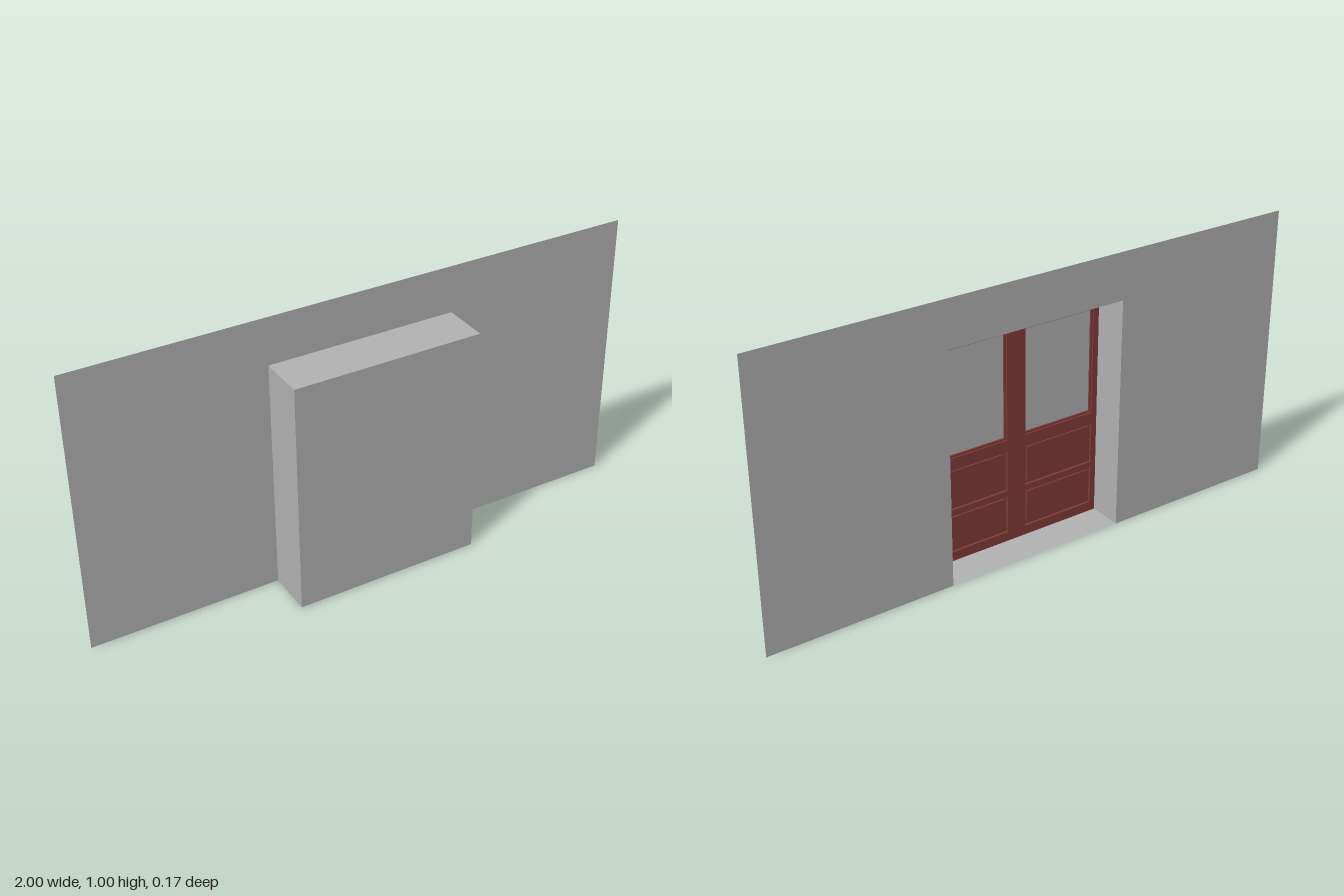
import * as THREE from 'three';

const W = 1 / 3;      // half width of the niche
const H = 0.833;      // height of the niche
const D = 0.083;      // half depth of the niche
const FACE = 0.039;   // z of the door face seen through the opening

// closed rectangle from two corners
function rect(x0, y0, x1, y1, Type = THREE.Shape) {
  const s = new Type();
  s.moveTo(x0, y0);
  s.lineTo(x1, y0);
  s.lineTo(x1, y1);
  s.lineTo(x0, y1);
  s.closePath();
  return s;
}

function extrude(shape, depth) {
  return new THREE.ExtrudeGeometry(shape, { depth, bevelEnabled: false });
}

export function createModel() {
  const plaster = new THREE.MeshStandardMaterial({ color: 0xb2b2b2, side: THREE.DoubleSide });
  plaster.name = 'grey plaster';
  const paint = new THREE.MeshStandardMaterial({ color: 0x803b36 });
  paint.name = 'dark red paint';

  const model = new THREE.Group();
  model.name = 'doorwayWall';

  function add(parent, name, geometry, material, x = 0, y = 0, z = 0) {
    const mesh = new THREE.Mesh(geometry, material);
    mesh.name = name;
    mesh.position.set(x, y, z);
    parent.add(mesh);
    return mesh;
  }

  // thin wall sheet with a doorway cut up from the bottom edge
  const outline = new THREE.Shape();
  [[-1, 0], [-W, 0], [-W, H], [W, H], [W, 0], [1, 0], [1, 1], [-1, 1]]
    .forEach(([x, y], i) => (i ? outline.lineTo(x, y) : outline.moveTo(x, y)));
  outline.closePath();
  add(model, 'wall', new THREE.ShapeGeometry(outline), plaster, 0, 0, -D);

  // open-backed niche made of single sheets
  const niche = new THREE.Group();
  niche.name = 'niche';
  model.add(niche);
  add(niche, 'nicheFront', new THREE.PlaneGeometry(2 * W, H), plaster, 0, H / 2, D);
  for (const [name, side] of [['leftJamb', 1], ['rightJamb', -1]]) {
    add(niche, name, new THREE.PlaneGeometry(2 * D, H), plaster, side * W, H / 2, 0)
      .rotation.y = side * Math.PI / 2;
  }
  add(niche, 'nicheTop', new THREE.PlaneGeometry(2 * W, 2 * D), plaster, 0, H, 0)
    .rotation.x = -Math.PI / 2;
  add(niche, 'nicheFloor', new THREE.PlaneGeometry(2 * W, 2 * D), plaster, 0, 0, 0)
    .rotation.x = Math.PI / 2;

  // double door: frame with two windows above four panels
  const door = new THREE.Group();
  door.name = 'door';
  model.add(door);
  const gap = 0.001;
  const frame = rect(-W + gap, gap, W - gap, H - gap);
  const inner = 0.035, outer = 0.312;
  const rows = [
    { y0: 0.035, y1: 0.175, panel: true },
    { y0: 0.195, y1: 0.345, panel: true },
    { y0: 0.385, y1: 0.77, panel: false },
  ];
  for (const side of [-1, 1]) {
    const x0 = side < 0 ? -outer : inner;
    const x1 = side < 0 ? -inner : outer;
    for (const { y0, y1, panel } of rows) {
      frame.holes.push(rect(x0, y0, x1, y1, THREE.Path));
      if (panel) {
        // sunken board with a raised field
        const w = x1 - x0, h = y1 - y0, cx = (x0 + x1) / 2, cy = (y0 + y1) / 2;
        add(door, 'panelBoard', new THREE.BoxGeometry(w, h, 0.004), paint, cx, cy, FACE + 0.011);
        add(door, 'panelField', new THREE.BoxGeometry(w - 0.02, h - 0.02, 0.006), paint, cx, cy, FACE + 0.006);
      } else {
        // stepped bead around the window opening
        const b = 0.007;
        const bead = rect(x0, y0, x1, y1);
        bead.holes.push(rect(x0 + b, y0 + b, x1 - b, y1 - b, THREE.Path));
        add(door, 'windowBead', extrude(bead, 0.006), paint, 0, 0, FACE + 0.006);
      }
    }
  }
  add(door, 'doorFrame', extrude(frame, 0.013), paint, 0, 0, FACE);

  return model;
}
